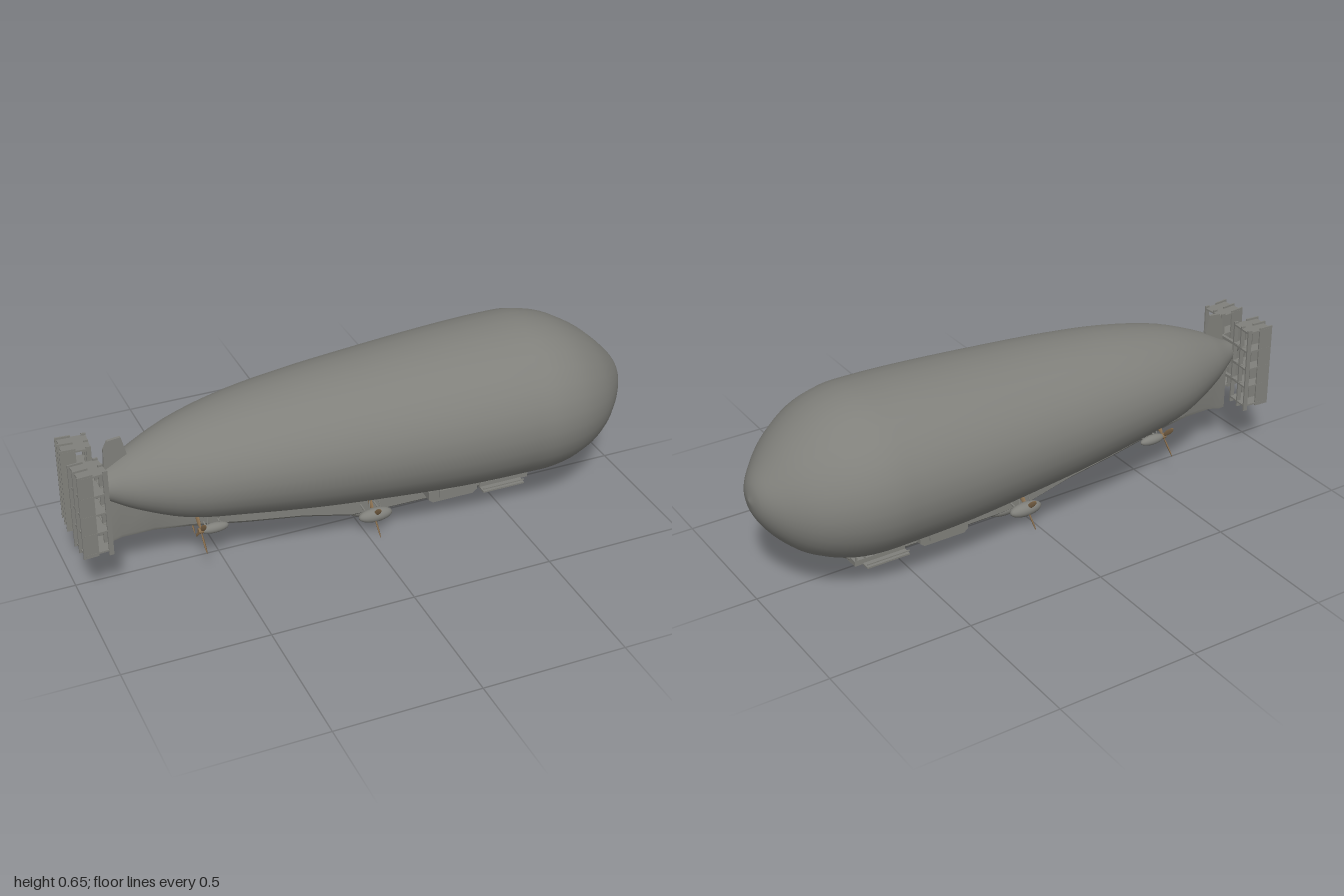
import * as THREE from 'three';
import { toCreasedNormals } from 'three/addons/utils/BufferGeometryUtils.js';

const grey = new THREE.MeshStandardMaterial({ color: 0x80807b });
grey.name = 'envelope grey';
const wood = new THREE.MeshStandardMaterial({ color: 0x8a7050 });
wood.name = 'propeller wood';

function add(parent, name, geometry, material, x = 0, y = 0, z = 0) {
  const mesh = new THREE.Mesh(geometry, material);
  mesh.name = name;
  mesh.position.set(x, y, z);
  parent.add(mesh);
  return mesh;
}
const box = (parent, name, x0, x1, y0, y1, z0, z1) => add(parent, name,
  new THREE.BoxGeometry(x1 - x0, y1 - y0, Math.abs(z1 - z0)), grey,
  (x0 + x1) / 2, (y0 + y1) / 2, (z0 + z1) / 2);

// Round bar between two points
function bar(parent, name, a, b, r) {
  const p = new THREE.Vector3(...a), q = new THREE.Vector3(...b);
  const d = q.clone().sub(p), mid = p.clone().add(q).multiplyScalar(0.5);
  const m = add(parent, name, new THREE.CylinderGeometry(r, r, d.length(), 8), grey, ...mid.toArray());
  m.quaternion.setFromUnitVectors(new THREE.Vector3(0, 1, 0), d.normalize());
}

// Skin over rings that run from tail to nose; each ring turns from +y towards +z
function loft(rings) {
  const n = rings[0].length, index = [];
  for (let i = 0; i < rings.length - 1; i++) for (let j = 0; j < n; j++) {
    const a = i * n + j, b = i * n + (j + 1) % n;
    index.push(a, b, a + n, b, b + n, a + n);
  }
  const last = (rings.length - 1) * n;
  for (let j = 1; j < n - 1; j++) index.push(0, j + 1, j, last, last + j, last + j + 1);
  const g = new THREE.BufferGeometry();
  g.setAttribute('position', new THREE.Float32BufferAttribute(rings.flat(2), 3));
  g.setIndex(index);
  g.computeVertexNormals();
  return g;
}

// Thin vertical plate from a side outline
function plate(parent, name, points, depth) {
  const shape = new THREE.Shape(points.map(p => new THREE.Vector2(...p)));
  const g = new THREE.ExtrudeGeometry(shape, { depth, bevelEnabled: false });
  return add(parent, name, g.translate(0, 0, -depth / 2), grey);
}

function makeEnvelope(parent) {
  // Each point: station, centre height, half height
  const curve = new THREE.CatmullRomCurve3([
    [-0.94, 0.375, 0.015], [-0.87, 0.37, 0.055], [-0.79, 0.37, 0.1], [-0.63, 0.372, 0.163],
    [-0.42, 0.381, 0.202], [-0.2, 0.38, 0.23], [0, 0.378, 0.248], [0.33, 0.376, 0.271],
    [0.54, 0.377, 0.277], [0.65, 0.375, 0.275], [0.755, 0.369, 0.251], [0.86, 0.36, 0.196],
    [0.94, 0.36, 0.122], [0.985, 0.367, 0.058], [1, 0.37, 0.004],
  ].map(p => new THREE.Vector3(...p)));
  const rings = curve.getPoints(56).map(({ x, y, z: r }) => {
    const k = 1.05 + 0.09 * THREE.MathUtils.smoothstep(x, -0.8, -0.4);
    return Array.from({ length: 32 }, (_, j) => {
      const a = j / 32 * Math.PI * 2;
      return [x, y + r * Math.cos(a), r * k * Math.sin(a)];
    });
  });
  add(parent, 'envelope', loft(rings), grey);
  const tip = add(parent, 'tailCone', new THREE.ConeGeometry(0.02, 0.045, 16), grey, -0.957, 0.375);
  tip.rotation.z = Math.PI / 2;
}

function makeKeel(parent) {
  // Each row: station, bottom, top, half width
  const rings = [
    [-0.9, 0.14, 0.36, 0.004], [-0.88, 0.14, 0.36, 0.006], [-0.83, 0.153, 0.34, 0.008],
    [-0.72, 0.155, 0.3, 0.014], [-0.6, 0.14, 0.25, 0.022], [-0.4, 0.104, 0.22, 0.03],
    [-0.2, 0.073, 0.19, 0.034], [-0.02, 0.03, 0.17, 0.036], [0.1, 0.025, 0.15, 0.036],
    [0.46, 0.022, 0.13, 0.036], [0.49, 0.022, 0.12, 0.034],
  ].map(([x, b, t, w]) => [[x, t, -w], [x, t, w], [x, b + 0.012, w], [x, b, w * 0.65],
    [x, b, -w * 0.65], [x, b + 0.012, -w]]);
  add(parent, 'keel', toCreasedNormals(loft(rings), 0.5), grey);

  // Rounded tubs under the keel
  for (const [x, len] of [[0.055, 0.078], [0.55, 0.095]]) {
    const tub = add(parent, 'gondolaBottom',
      new THREE.SphereGeometry(1, 24, 12, 0, Math.PI * 2, Math.PI / 2, Math.PI / 2), grey, x, 0.03, 0);
    tub.scale.set(len, 0.028, 0.032);
    add(parent, 'gondolaRim', new THREE.CylinderGeometry(1, 1, 1, 24), grey, x, 0.032, 0)
      .scale.set(len, 0.006, 0.034);
  }
}

function makeCabin(parent) {
  const cabin = new THREE.Group();
  cabin.name = 'controlCabin';
  parent.add(cabin);
  box(cabin, 'floor', 0.47, 0.66, 0.022, 0.042, -0.036, 0.036);
  box(cabin, 'ceiling', 0.47, 0.66, 0.094, 0.112, -0.036, 0.036);
  box(cabin, 'innerWall', 0.48, 0.6, 0.04, 0.1, -0.022, 0.022);
  for (const s of [-1, 1]) {
    for (let i = 0; i < 6; i++) {
      const x = 0.488 + i * 0.033;
      box(cabin, 'windowPost', x - 0.003, x + 0.003, 0.04, 0.096, s * 0.03, s * 0.036);
    }
    box(cabin, 'windowRail', 0.487, 0.658, 0.062, 0.069, s * 0.03, s * 0.037);
    box(cabin, 'sideLedge', 0.47, 0.63, 0.02, 0.026, s * 0.03, s * 0.068);
    box(cabin, 'ledgeRail', 0.47, 0.63, 0.034, 0.038, s * 0.064, s * 0.068);
    // Streamlined side compartment
    const outline = [[0.25, 0.055], [0.265, 0.042], [0.42, 0.042], [0.436, 0.055],
      [0.436, 0.088], [0.42, 0.101], [0.28, 0.101], [0.25, 0.085]];
    plate(parent, 'sideCompartment', outline, 0.044).position.z = s * 0.058;
    box(parent, 'compartmentPanel', 0.29, 0.4, 0.058, 0.086, s * 0.079, s * 0.084);
  }
  box(cabin, 'frontRail', 0.655, 0.661, 0.062, 0.069, -0.034, 0.034);
  bar(parent, 'noseStrut', [0.64, 0.022, 0], [0.905, 0.205, 0], 0.0045);
}

function makeEngine(parent, x, y, z, length, radius, propX) {
  const engine = new THREE.Group();
  engine.name = 'engine';
  engine.position.set(x, y, z);
  parent.add(engine);
  add(engine, 'nacelle', new THREE.SphereGeometry(1, 20, 14), grey).scale.set(length, radius, radius);
  const inward = -Math.sign(z);
  for (const dx of [-0.025, 0.025]) {
    bar(engine, 'engineStrut', [dx, 0, 0], [dx * 0.6, 0.065, inward * 0.015], 0.0025);
    bar(engine, 'engineBrace', [dx, 0, 0], [dx, 0.005, inward * (Math.abs(z) - 0.015)], 0.0035);
  }
  const prop = new THREE.Group();
  prop.name = 'propeller';
  prop.position.x = propX;
  engine.add(prop);
  const hub = add(prop, 'propellerHub', new THREE.CylinderGeometry(0.01, 0.01, 0.018, 12), wood);
  hub.rotation.z = Math.PI / 2;
  for (let i = 0; i < 4; i++) {
    const arm = new THREE.Group();
    arm.name = 'propellerBlade';
    arm.rotation.x = Math.PI / 4 + i * Math.PI / 2;
    prop.add(arm);
    const blade = add(arm, 'blade', new THREE.SphereGeometry(1, 12, 10), wood, 0, 0.043, 0);
    blade.scale.set(0.003, 0.038, 0.009);
    blade.rotation.y = 0.45;
  }
}

function makeTail(parent) {
  plate(parent, 'topFin', [[-0.875, 0.39], [-0.79, 0.42], [-0.795, 0.475], [-0.81, 0.535],
    [-0.855, 0.53], [-0.87, 0.5]], 0.01);
  for (const s of [-1, 1]) {
    const kite = new THREE.Group();
    kite.name = 'boxTail';
    kite.position.set(-0.945, 0, s * 0.083);
    kite.rotation.y = s * 0.08;
    parent.add(kite);
    // Rudders behind, posts ahead, level planes across
    for (const z of [-0.042, 0, 0.042]) {
      box(kite, 'rudder', -0.052, 0.0, 0.19, 0.5, z - 0.0025, z + 0.0025);
      box(kite, 'tailPost', 0.034, 0.05, 0.18, 0.5, z - 0.003, z + 0.003);
    }
    for (const y of [0.2, 0.275, 0.345, 0.415, 0.49])
      box(kite, 'tailPlane', -0.045, 0.05, y - 0.003, y + 0.003, -0.045, 0.045);
  }
  for (const y of [0.275, 0.345, 0.415]) box(parent, 'tailSpar', -0.91, -0.898, y - 0.005, y + 0.005, -0.09, 0.09);
}

export function createModel() {
  const model = new THREE.Group();
  model.name = 'airship';
  makeEnvelope(model);
  makeKeel(model);
  makeCabin(model);
  makeTail(model);
  for (const s of [-1, 1]) {
    makeEngine(model, 0.035, 0.07, s * 0.105, 0.062, 0.025, -0.005);
    makeEngine(model, -0.53, 0.145, s * 0.062, 0.05, 0.018, -0.048);
  }
  return model;
}
